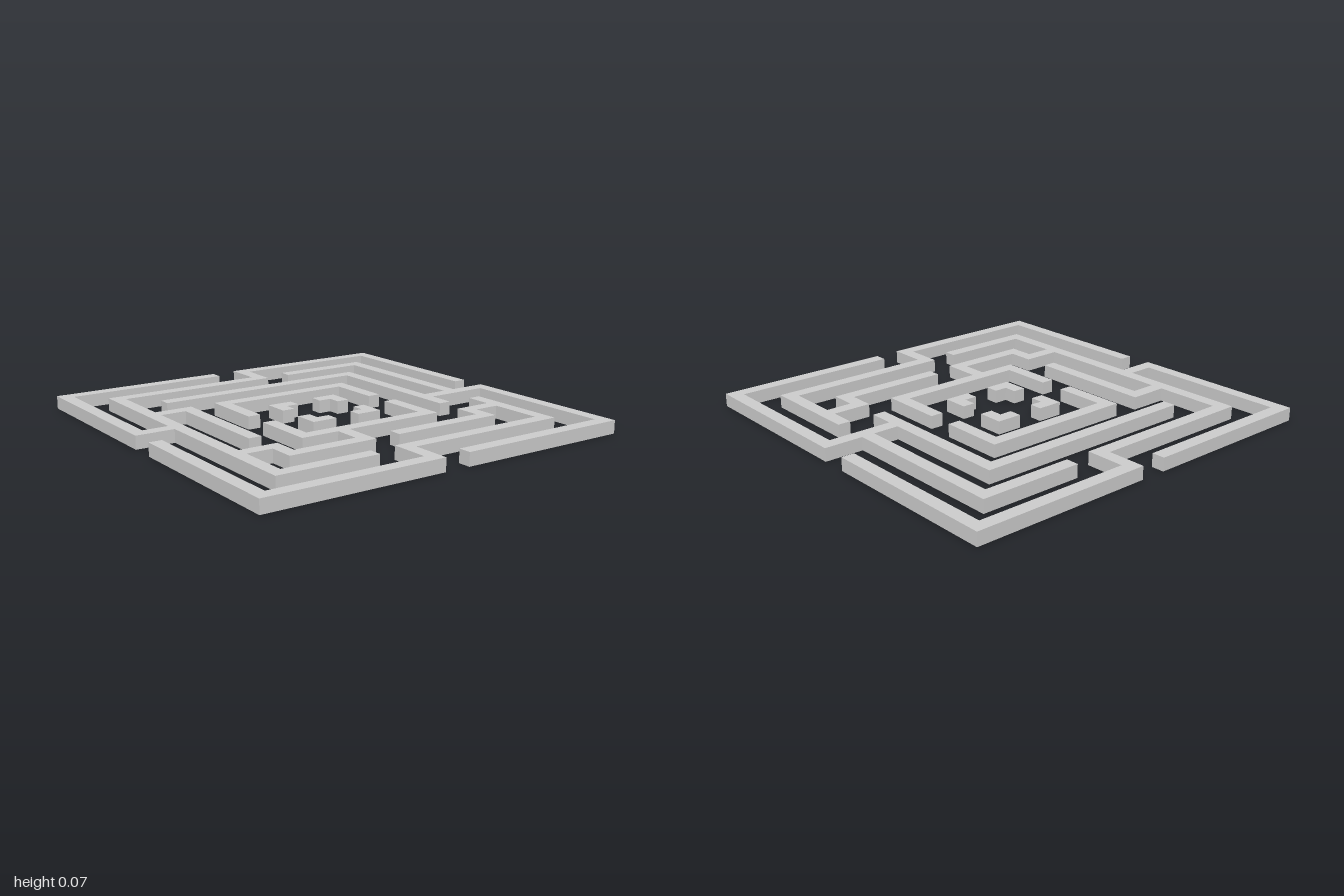
import * as THREE from 'three';

const N = 30;          // the maze lies on a 30 x 30 grid of square cells
const S = 2 / N;       // cell size, also wall thickness and height

// Each wall is a set of runs [column, row, column, row, ...] through cells
const WALLS = {
  longWall: [
    [13, 0, 0, 0, 0, 13, 3, 13, 3, 26, 26, 26, 26, 19],
    [13, 26, 13, 29, 0, 29, 0, 16],
    [9, 26, 9, 23, 18, 23],
    [21, 26, 21, 23, 23, 23, 23, 17, 20, 17],
    [16, 9, 20, 9, 20, 20, 16, 20],
  ],
  backRightWall: [
    [29, 13, 29, 0, 16, 0, 16, 6],
    [18, 6, 6, 6, 6, 23],
    [16, 3, 3, 3, 3, 10],
  ],
  frontRightWall: [
    [19, 3, 26, 3, 26, 16, 29, 16, 29, 29, 16, 29],
    [21, 3, 21, 6, 23, 6, 23, 14],
  ],
  innerRingHalf: [[13, 9, 9, 9, 9, 20, 13, 20]],
};

// Small L-shaped posts round the centre, mirrored both ways
for (const mx of [0, 1]) for (const mz of [0, 1]) {
  const fx = (i) => (mx ? N - 1 - i : i), fz = (i) => (mz ? N - 1 - i : i);
  WALLS[`centreCorner${1 + mx + 2 * mz}`] =
    [[fx(13), fz(12), fx(12), fz(12), fx(12), fz(13)]];
}

// Mark every cell that the runs pass through
function fillCells(runs) {
  const cells = new Set();
  for (const run of runs) {
    for (let k = 0; k + 3 < run.length; k += 2) {
      const [x0, z0, x1, z1] = run.slice(k, k + 4);
      const steps = Math.max(Math.abs(x1 - x0), Math.abs(z1 - z0));
      for (let s = 0; s <= steps; s++) {
        cells.add((x0 + Math.sign(x1 - x0) * s) + N * (z0 + Math.sign(z1 - z0) * s));
      }
    }
  }
  return cells;
}

// Hollow shell: a top per cell, a side wherever there is no neighbour, open below
function wallGeometry(runs) {
  const cells = fillCells(runs), pos = [];
  const quad = (a, b, c, d) => pos.push(...a, ...b, ...c, ...a, ...c, ...d);
  const point = ([x, z], y) => [x * S - 1, y, z * S - 1];
  const has = (x, z) => x >= 0 && x < N && z >= 0 && z < N && cells.has(x + N * z);
  for (const id of cells) {
    const x = id % N, z = Math.floor(id / N);
    const corners = [[x, z], [x, z + 1], [x + 1, z + 1], [x + 1, z]];
    const sides = [[-1, 0], [0, 1], [1, 0], [0, -1]];
    quad(...corners.map((c) => point(c, S)));
    sides.forEach(([dx, dz], i) => {
      if (has(x + dx, z + dz)) return;
      const p = corners[i], q = corners[(i + 1) % 4];
      quad(point(p, 0), point(q, 0), point(q, S), point(p, S));
    });
  }
  const geo = new THREE.BufferGeometry();
  geo.setAttribute('position', new THREE.Float32BufferAttribute(pos, 3));
  geo.computeVertexNormals();
  return geo;
}

export function createModel() {
  const group = new THREE.Group();
  group.name = 'maze';
  const material = new THREE.MeshStandardMaterial({
    color: 0xcccccc, flatShading: true, side: THREE.DoubleSide,
  });
  for (const [name, runs] of Object.entries(WALLS)) {
    const mesh = new THREE.Mesh(wallGeometry(runs), material);
    mesh.name = name;
    group.add(mesh);
  }
  return group;
}
